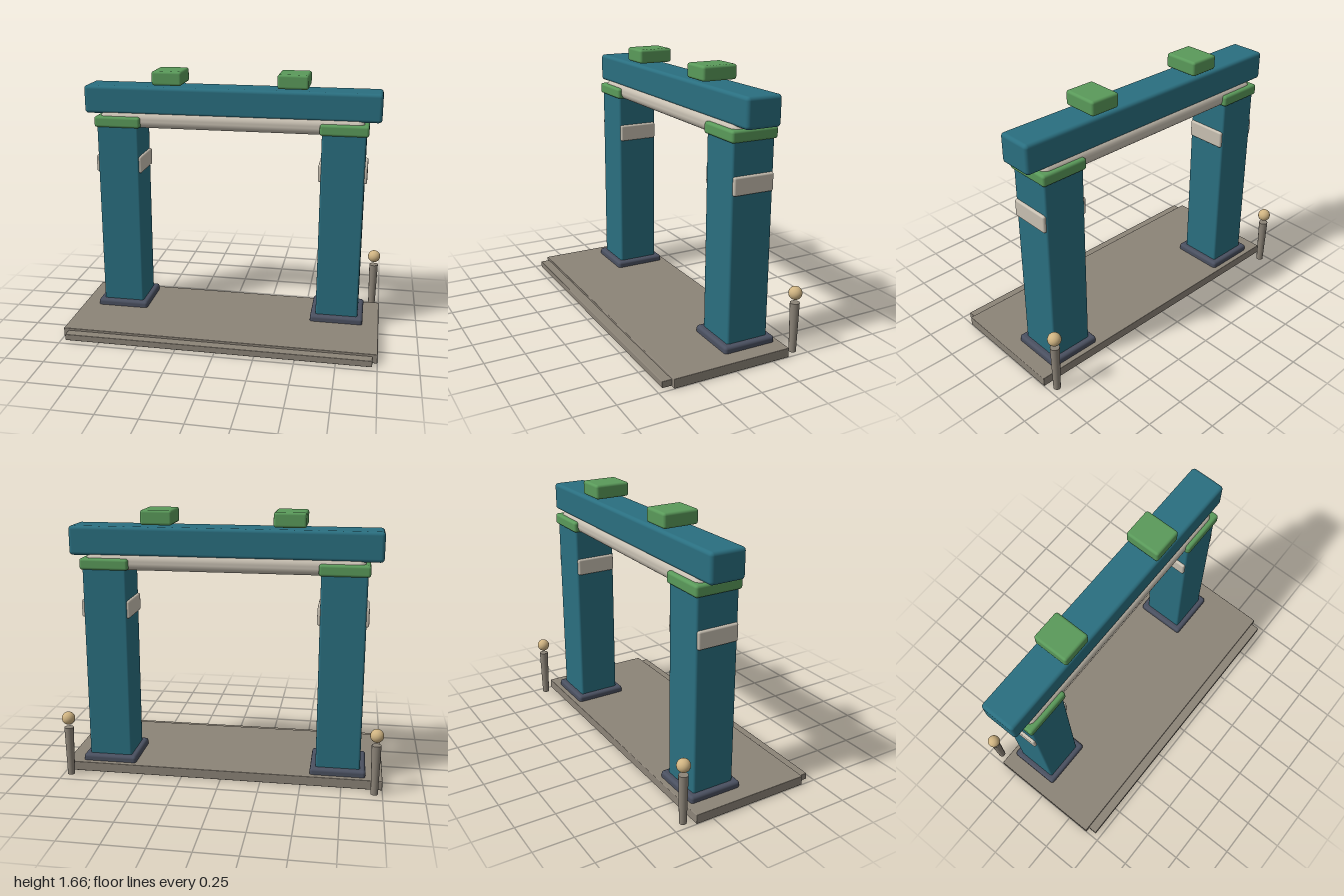
import * as THREE from 'three';
import { RoundedBoxGeometry } from 'three/addons/geometries/RoundedBoxGeometry.js';

const mat = (color) => new THREE.MeshStandardMaterial({ color });
const teal = mat(0x2a6f80), green = mat(0x5a9a5a), cream = mat(0xc8c0b2);
const stone = mat(0x8c8478), slate = mat(0x4a5060), gold = mat(0xd0b482);

export function createModel() {
  const root = new THREE.Group();
  root.name = 'gateway';
  const gateZ = -0.158; // centre line of the gate

  // Rounded block given by its extents in y and its centre in x and z
  function block(name, material, width, depth, y0, y1, x, z, radius, parent = root) {
    const mesh = new THREE.Mesh(new RoundedBoxGeometry(width, y1 - y0, depth, 3, radius), material);
    mesh.position.set(x, (y0 + y1) / 2, z);
    mesh.name = name;
    parent.add(mesh);
    return mesh;
  }

  // Ground slab with a low front step
  block('platform', stone, 2, 0.765, 0, 0.06, 0, 0.021, 0.004);
  block('frontStep', stone, 1.94, 0.12, 0.004, 0.045, 0, 0.403, 0.004);

  for (const side of [-1, 1]) {
    const prefix = side > 0 ? 'left' : 'right';

    // Pillar with its foot, capital and side bands
    const pillar = new THREE.Group();
    pillar.name = prefix + 'Pillar';
    pillar.position.set(side * 0.725, 0, gateZ);
    root.add(pillar);
    block('pillarFoot', slate, 0.342, 0.342, 0.02, 0.1, 0, 0, 0.018, pillar);
    block('pillarShaft', teal, 0.274, 0.274, 0.03, 1.31, 0, 0, 0.014, pillar);
    block('capital', green, 0.302, 0.302, 1.3, 1.37, 0, 0, 0.016, pillar);
    for (const s of [-1, 1]) {
      block('pillarBand', cream, 0.028, 0.262, 1, 1.11, s * 0.139, 0, 0.012, pillar);
    }

    // Block on top of the lintel
    block(prefix + 'RoofBlock', green, 0.194, 0.228, 1.574, 1.664, side * 0.4, gateZ - 0.002, 0.016);

    // Tapered post with a ball on top, behind the slab
    const post = new THREE.Group();
    post.name = prefix + 'Post';
    post.position.set(side * 0.951, 0, -0.423);
    root.add(post);
    const shaft = new THREE.Mesh(new THREE.CylinderGeometry(0.029, 0.022, 0.315, 20), stone);
    shaft.name = 'postShaft';
    shaft.position.y = 0.1615;
    const ball = new THREE.Mesh(new THREE.SphereGeometry(0.041, 24, 16), gold);
    ball.name = 'postBall';
    ball.position.y = 0.379;
    post.add(shaft, ball);
  }

  // Rounded under-beam and the lintel above it
  block('underBeam', cream, 1.7, 0.252, 1.295, 1.399, 0, gateZ, 0.045);
  block('lintel', teal, 1.9, 0.226, 1.382, 1.562, 0, gateZ - 0.002, 0.022);

  return root;
}
